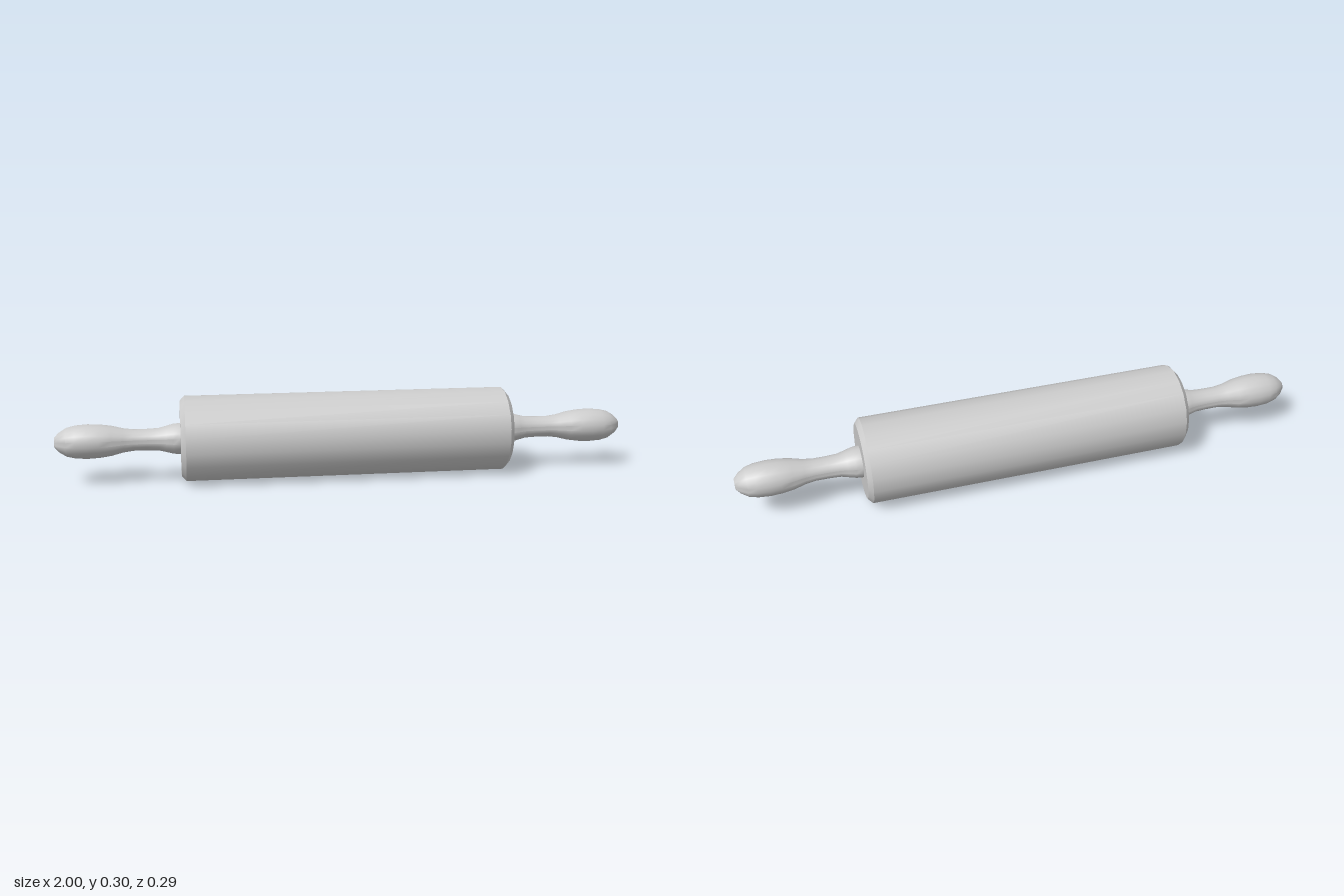
import * as THREE from 'three';
import { toCreasedNormals } from 'three/addons/utils/BufferGeometryUtils.js';

const SIDES = 18;
const AXIS_Y = 0.1485;

// Turns a profile of [x along the axis, radius] around the x axis, with a corner at the top
function turned(profile, crease) {
  const points = profile.map(([x, r]) => new THREE.Vector2(r, x));
  const geometry = new THREE.LatheGeometry(points, SIDES, Math.PI / 2);
  geometry.rotateZ(-Math.PI / 2);
  return toCreasedNormals(geometry, crease);
}

export function createModel() {
  const group = new THREE.Group();
  const material = new THREE.MeshStandardMaterial({ color: 0xcccccc });

  // Chamfered cylinder
  const roller = new THREE.Mesh(turned([
    [-0.576, 0], [-0.576, 0.131], [-0.56, 0.1485],
    [0.56, 0.1485], [0.576, 0.131], [0.576, 0],
  ], 0.6), material);
  roller.name = 'roller';
  roller.position.y = AXIS_Y;
  group.add(roller);

  // Slightly flattened handle: flared collar, narrow neck, bulb and a small flat tip
  const handleGeometry = turned([
    [0.56, 0], [0.56, 0.058], [0.58, 0.058], [0.6, 0.056], [0.625, 0.049], [0.65, 0.042],
    [0.69, 0.04], [0.735, 0.04], [0.77, 0.045], [0.81, 0.056], [0.85, 0.062], [0.89, 0.064],
    [0.93, 0.061], [0.96, 0.053], [0.985, 0.036], [1, 0.0185], [1, 0],
  ], 0.65);
  handleGeometry.scale(1, 0.925, 1);
  for (const [name, turn] of [['leftHandle', 0], ['rightHandle', Math.PI]]) {
    const handle = new THREE.Mesh(handleGeometry, material);
    handle.name = name;
    handle.position.y = AXIS_Y;
    handle.rotation.y = turn;
    group.add(handle);
  }
  return group;
}
